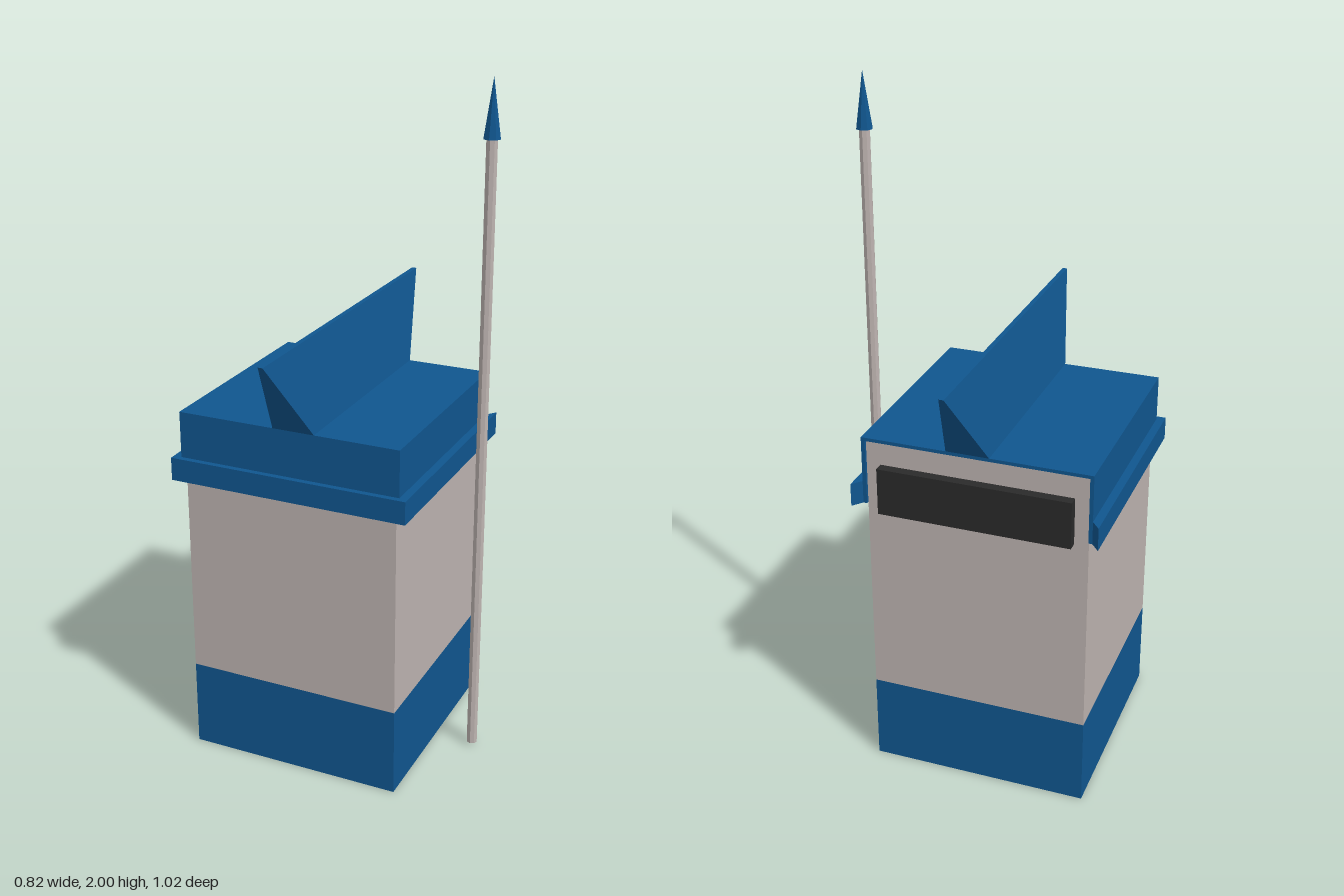
import * as THREE from 'three';

const BLUE = 0x10568f, GREY = 0xbdb3b0, BLACK = 0x2a2a2a;
const CX = -0.056; // middle of the bin, the pole stands beside it

export function createModel() {
  const group = new THREE.Group();

  const add = (name, geometry, color, x = 0, y = 0, z = 0) => {
    const material = new THREE.MeshStandardMaterial({ color, flatShading: true });
    const mesh = new THREE.Mesh(geometry, material);
    mesh.name = name;
    mesh.position.set(x, y, z);
    group.add(mesh);
    return mesh;
  };
  const box = (name, color, w, d, y0, y1, x = CX, z = 0) =>
    add(name, new THREE.BoxGeometry(w, y1 - y0, d), color, x, (y0 + y1) / 2, z);

  // Extrudes an outline of [x, z] points upward from y0 to y1
  const slab = (name, points, y0, y1) => {
    const shape = new THREE.Shape(points.map(([x, z]) => new THREE.Vector2(x, -z)));
    const geometry = new THREE.ExtrudeGeometry(shape, { depth: y1 - y0, bevelEnabled: false });
    geometry.rotateX(-Math.PI / 2);
    return add(name, geometry, BLUE, CX, y0, 0);
  };

  // Square body
  box('base', BLUE, 0.645, 0.65, 0, 0.265);
  box('body', GREY, 0.645, 0.65, 0.265, 1.065);

  // Lid, open at the back: top plate and a three-sided skirt
  box('lidTop', BLUE, 0.668, 0.667, 1.065, 1.075);
  slab('lidSkirt', [
    [-0.334, -0.333], [-0.334, 0.333], [0.334, 0.333], [0.334, -0.333],
    [0.323, -0.333], [0.323, 0.325], [-0.323, 0.325], [-0.323, -0.333],
  ], 0.87, 1.065);

  // Rim around three sides, with pointed ends at the back
  slab('lidRim', [
    [-0.358, -0.362], [-0.358, 0.35], [0.358, 0.35], [0.358, -0.362],
    [0.334, -0.333], [0.334, 0.333], [-0.334, 0.333], [-0.334, -0.333],
  ], 0.87, 0.938);

  // Ridge on the lid: narrows in width and lengthens toward the top
  const fin = new THREE.BoxGeometry(1, 0.24, 1);
  const p = fin.attributes.position;
  for (let i = 0; i < p.count; i++) {
    const top = p.getY(i) > 0;
    p.setX(i, p.getX(i) * (top ? 0.014 : 0.125));
    p.setZ(i, p.getZ(i) * (top ? 1.02 : 0.667));
  }
  fin.computeVertexNormals();
  add('lidRidge', fin, BLUE, -0.035, 1.195, 0);

  // Dark plate on the back
  box('backPlate', BLACK, 0.562, 0.03, 0.855, 0.995, CX, -0.339);

  // Pole with a pointed tip
  add('pole', new THREE.CylinderGeometry(0.016, 0.016, 1.835, 8), GREY, 0.386, 0.9275, 0);
  add('poleTip', new THREE.ConeGeometry(0.024, 0.16, 8), BLUE, 0.386, 1.92, 0);

  return group;
}
